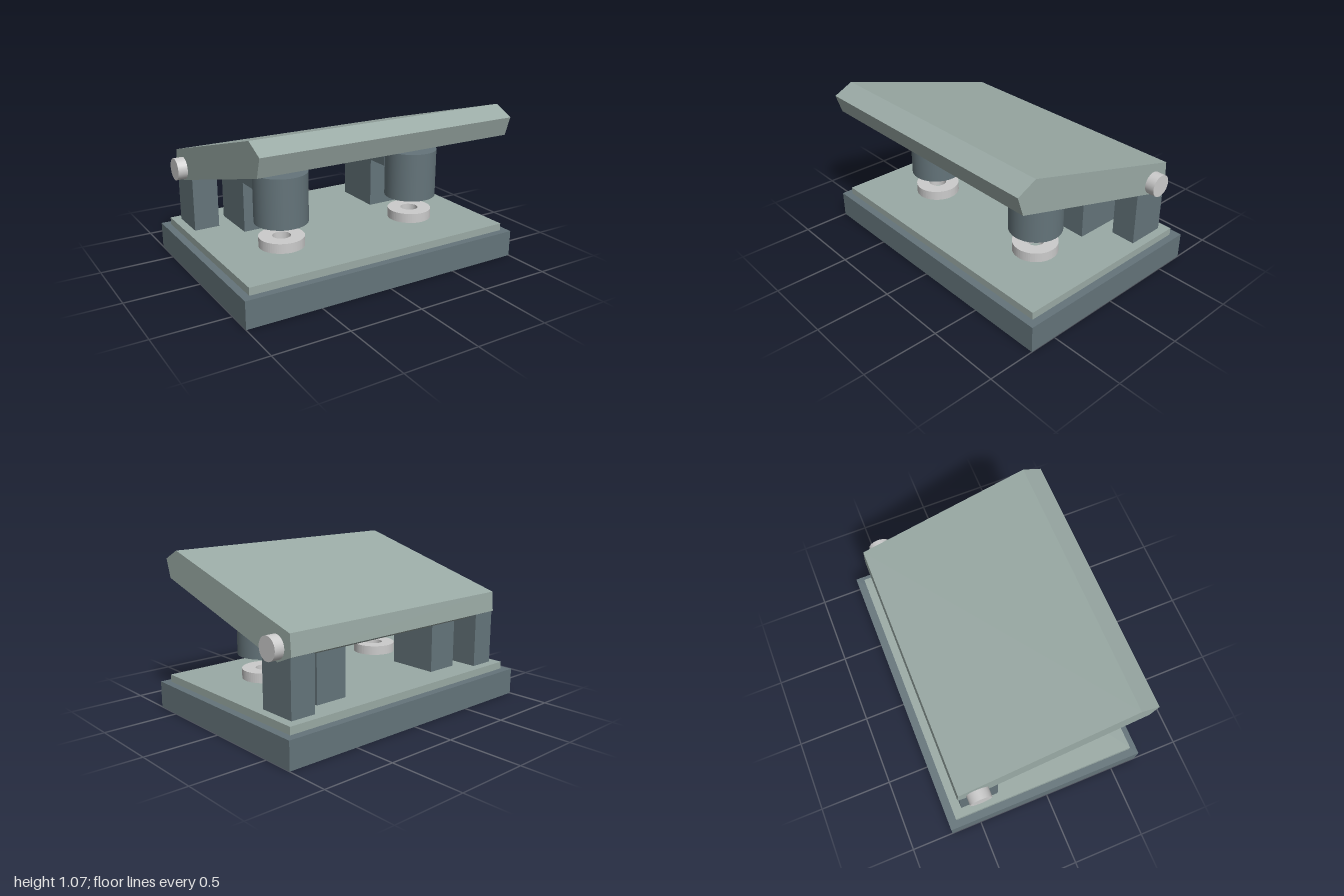
import * as THREE from 'three';

const mat = (color) => new THREE.MeshStandardMaterial({ color });

export function createModel() {
  const model = new THREE.Group();
  const dark = mat(0x64747a);
  const pale = mat(0x9aaaa5);
  const metal = mat(0xc4c4c4);

  const add = (name, geometry, material, parent = model) => {
    const mesh = new THREE.Mesh(geometry, material);
    mesh.name = name;
    parent.add(mesh);
    return mesh;
  };
  // Box given by its extents on each axis
  const box = (name, [x0, x1], [y0, y1], [z0, z1], material, parent) =>
    add(name, new THREE.BoxGeometry(x1 - x0, y1 - y0, z1 - z0), material, parent)
      .position.set((x0 + x1) / 2, (y0 + y1) / 2, (z0 + z1) / 2);
  // Upright cylinder between two heights
  const post = (name, r, y0, y1, x, z, material, parent) =>
    add(name, new THREE.CylinderGeometry(r, r, y1 - y0, 32), material, parent)
      .position.set(x, (y0 + y1) / 2, z);

  // Base and bed plate
  box('base', [-1, 1], [0, 0.18], [-0.71, 0.685], dark);
  box('bedPlate', [-0.95, 0.95], [0.18, 0.23], [-0.655, 0.635], pale);

  // Tilted lever: side profile in (z, y), extruded across the width
  const profile = new THREE.Shape([
    [0.71, 1.0], [0.58, 1.065], [-0.595, 0.735],
    [-0.605, 0.6], [-0.48, 0.547], [0.67, 0.875],
  ].map(([z, y]) => new THREE.Vector2(z, y)));
  const lever = new THREE.ExtrudeGeometry(profile, { depth: 1.79, bevelEnabled: false });
  lever.rotateY(-Math.PI / 2).translate(0.895, 0, 0);
  add('lever', lever, pale);

  // Die ring with a through hole
  const ring = new THREE.Shape().absarc(0, 0, 0.15, 0, Math.PI * 2);
  ring.holes.push(new THREE.Path().absarc(0, 0, 0.06, 0, Math.PI * 2, true));
  const die = new THREE.ExtrudeGeometry(ring, { depth: 0.065, bevelEnabled: false, curveSegments: 32 });
  die.rotateX(-Math.PI / 2);

  for (const side of [-1, 1]) {
    const half = new THREE.Group();
    half.name = side > 0 ? 'leftPunch' : 'rightPunch';
    model.add(half);
    const px = side * 0.505;
    const pz = 0.18;
    const span = (a, b) => (side > 0 ? [a, b] : [-b, -a]);

    // Hinge post and its pivot pin
    box('hingePost', span(0.72, 0.893), [0.23, 0.64], [-0.595, -0.33], dark, half);
    const pin = add('hingePin', new THREE.CylinderGeometry(0.075, 0.075, 0.16, 24), metal, half);
    pin.rotation.z = Math.PI / 2;
    pin.position.set(side * 0.88, 0.635, -0.47);

    // Punch support: column and forward arm
    box('column', span(0.392, 0.618), [0.23, 0.672], [-0.49, -0.14], dark, half);
    box('arm', span(0.392, 0.618), [0.575, 0.672], [-0.14, 0.03], dark, half);

    // Punch housing, punch pin and die
    post('punchHousing', 0.176, 0.395, 0.725, px, pz, dark, half);
    post('punchPin', 0.045, 0.385, 0.8, px, pz, metal, half);
    add('die', die, metal, half).position.set(px, 0.23, pz);
  }
  return model;
}
